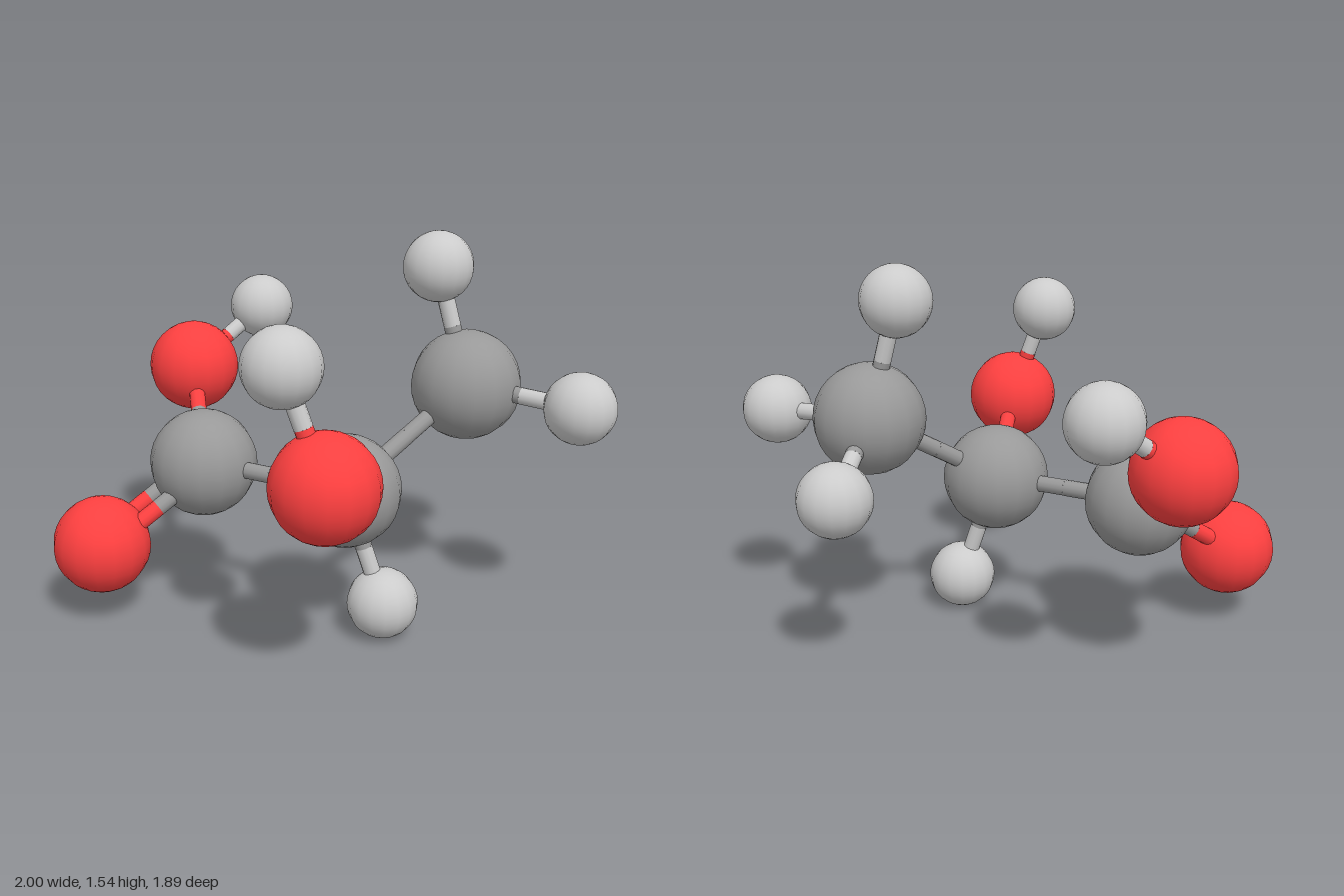
import * as THREE from 'three';

const ELEMENTS = {
  carbon: { radius: 0.22, color: 0x999999 },
  oxygen: { radius: 0.195, color: 0xff4040 },
  hydrogen: { radius: 0.14, color: 0xcccccc },
};
const BOND_RADIUS = 0.034;

// name: [element, x, y, z]
const ATOMS = {
  centreCarbon: ['carbon', 0.025, 0.6, 0.275],
  acidCarbon: ['carbon', -0.36, 0.6, -0.26],
  methylCarbon: ['carbon', 0.595, 0.94, 0.2],
  doubleOxygen: ['oxygen', -0.805, 0.32, -0.242],
  acidOxygen: ['oxygen', -0.225, 0.88, -0.755],
  alcoholOxygen: ['oxygen', -0.28, 0.82, 0.75],
  alcoholHydrogen: ['hydrogen', -0.395, 1.225, 0.658],
  acidHydrogen: ['hydrogen', 0.122, 1.11, -0.805],
  centreHydrogen: ['hydrogen', 0.147, 0.145, 0.37],
  methylHydrogenTop: ['hydrogen', 0.505, 1.405, 0.108],
  methylHydrogenBack: ['hydrogen', 0.855, 0.755, -0.162],
  methylHydrogenFront: ['hydrogen', 0.855, 0.915, 0.602],
};

// pairs of joined atoms; the third value is the number of rods
const BONDS = [
  ['centreCarbon', 'acidCarbon', 1],
  ['centreCarbon', 'methylCarbon', 1],
  ['centreCarbon', 'alcoholOxygen', 1],
  ['centreCarbon', 'centreHydrogen', 1],
  ['acidCarbon', 'doubleOxygen', 2],
  ['acidCarbon', 'acidOxygen', 1],
  ['acidOxygen', 'acidHydrogen', 1],
  ['alcoholOxygen', 'alcoholHydrogen', 1],
  ['methylCarbon', 'methylHydrogenTop', 1],
  ['methylCarbon', 'methylHydrogenBack', 1],
  ['methylCarbon', 'methylHydrogenFront', 1],
];

export function createModel() {
  const model = new THREE.Group();
  model.name = 'molecule';

  const materials = {};
  const spheres = {};
  for (const [key, { radius, color }] of Object.entries(ELEMENTS)) {
    materials[key] = new THREE.MeshStandardMaterial({ color });
    spheres[key] = new THREE.SphereGeometry(radius, 16, 16);
  }
  const position = (name) => new THREE.Vector3(...ATOMS[name].slice(1));

  // Atoms
  for (const [name, [element]] of Object.entries(ATOMS)) {
    const atom = new THREE.Mesh(spheres[element], materials[element]);
    atom.name = name;
    atom.position.copy(position(name));
    model.add(atom);
  }

  // Half of a rod, coloured like the atom it starts from
  const up = new THREE.Vector3(0, 1, 0);
  function halfRod(from, to, element) {
    const direction = to.clone().sub(from);
    const length = direction.length();
    const rod = new THREE.Mesh(
      new THREE.CylinderGeometry(BOND_RADIUS, BOND_RADIUS, length, 12, 1, true),
      materials[element]
    );
    rod.name = element + 'HalfRod';
    rod.position.copy(from).lerp(to, 0.5);
    rod.quaternion.setFromUnitVectors(up, direction.normalize());
    return rod;
  }

  // Bonds; double ones are two rods set apart along z
  for (const [a, b, count] of BONDS) {
    const bond = new THREE.Group();
    bond.name = a + 'To' + b[0].toUpperCase() + b.slice(1) + 'Bond';
    for (let i = 0; i < count; i++) {
      const shift = new THREE.Vector3(0, 0, (i - (count - 1) / 2) * 0.128);
      const start = position(a).add(shift);
      const end = position(b).add(shift);
      const middle = start.clone().lerp(end, 0.5);
      bond.add(halfRod(start, middle, ATOMS[a][0]), halfRod(end, middle, ATOMS[b][0]));
    }
    model.add(bond);
  }
  return model;
}
